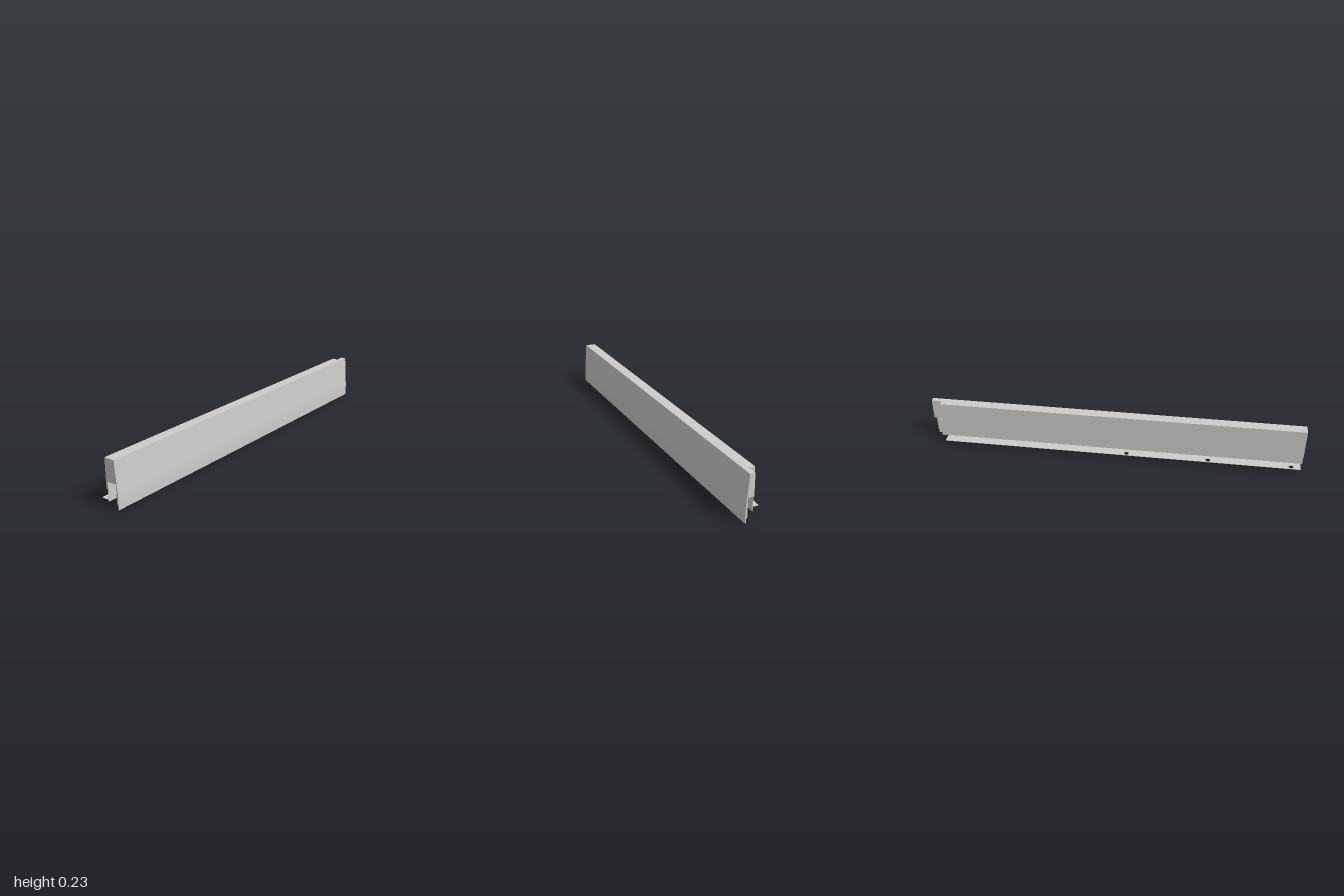
import * as THREE from 'three';

const material = new THREE.MeshStandardMaterial({ color: 0xcccccc });

function shapeOf(points) {
  return new THREE.Shape(points.map(([x, y]) => new THREE.Vector2(x, y)));
}

// Extrudes an x/y cross-section between two z positions.
function profile(name, points, z0, z1) {
  const geometry = new THREE.ExtrudeGeometry(shapeOf(points), { depth: z1 - z0, bevelEnabled: false });
  geometry.translate(0, 0, z0);
  const mesh = new THREE.Mesh(geometry, material);
  mesh.name = name;
  return mesh;
}

export function createModel() {
  const group = new THREE.Group();
  group.name = 'mountingRail';

  // Sloped outer wall with a drip lip, shared by both body sections
  const outerWall = [
    [0.046, 0.122], [0.046, 0.025], [0.052, 0.025], [0.052, 0], [0.056, 0],
    [0.056, 0.045], [0.0545, 0.075], [0.0495, 0.14], [0.042, 0.233],
  ];
  const notchZ = -0.946;

  // Main channel body
  group.add(profile('body', [
    ...outerWall,
    [-0.0145, 0.233], [-0.0145, 0.083], [-0.0055, 0.083], [-0.0055, 0.122],
  ], notchZ, 1));

  // Narrowed body at the notched back end
  group.add(profile('bodyEnd', [
    ...outerWall, [0.0165, 0.233], [0.0165, 0.122],
  ], -1, notchZ));

  // Sheet bracket lining the channel
  group.add(profile('bracketWeb', [
    [-0.0055, 0.0245], [-0.003, 0.0245], [-0.003, 0.12], [0.046, 0.12],
    [0.046, 0.122], [-0.0055, 0.122],
  ], -0.96, 1));

  // Horizontal flange with screw holes, outlined in x/z
  const outline = shapeOf([[-0.057, -0.926], [-0.0055, -0.926], [-0.0055, 0.99], [-0.057, 0.99]]);
  for (const z of [0.073, 0.507, 0.941]) {
    const hole = new THREE.Path();
    hole.absarc(-0.039, z, 0.0125, 0, Math.PI * 2, true);
    outline.holes.push(hole);
  }
  const flangeGeometry = new THREE.ExtrudeGeometry(outline, { depth: 0.0025, bevelEnabled: false, curveSegments: 24 });
  flangeGeometry.rotateX(Math.PI / 2);
  flangeGeometry.translate(0, 0.027, 0);
  const flange = new THREE.Mesh(flangeGeometry, material);
  flange.name = 'flange';
  group.add(flange);

  return group;
}
